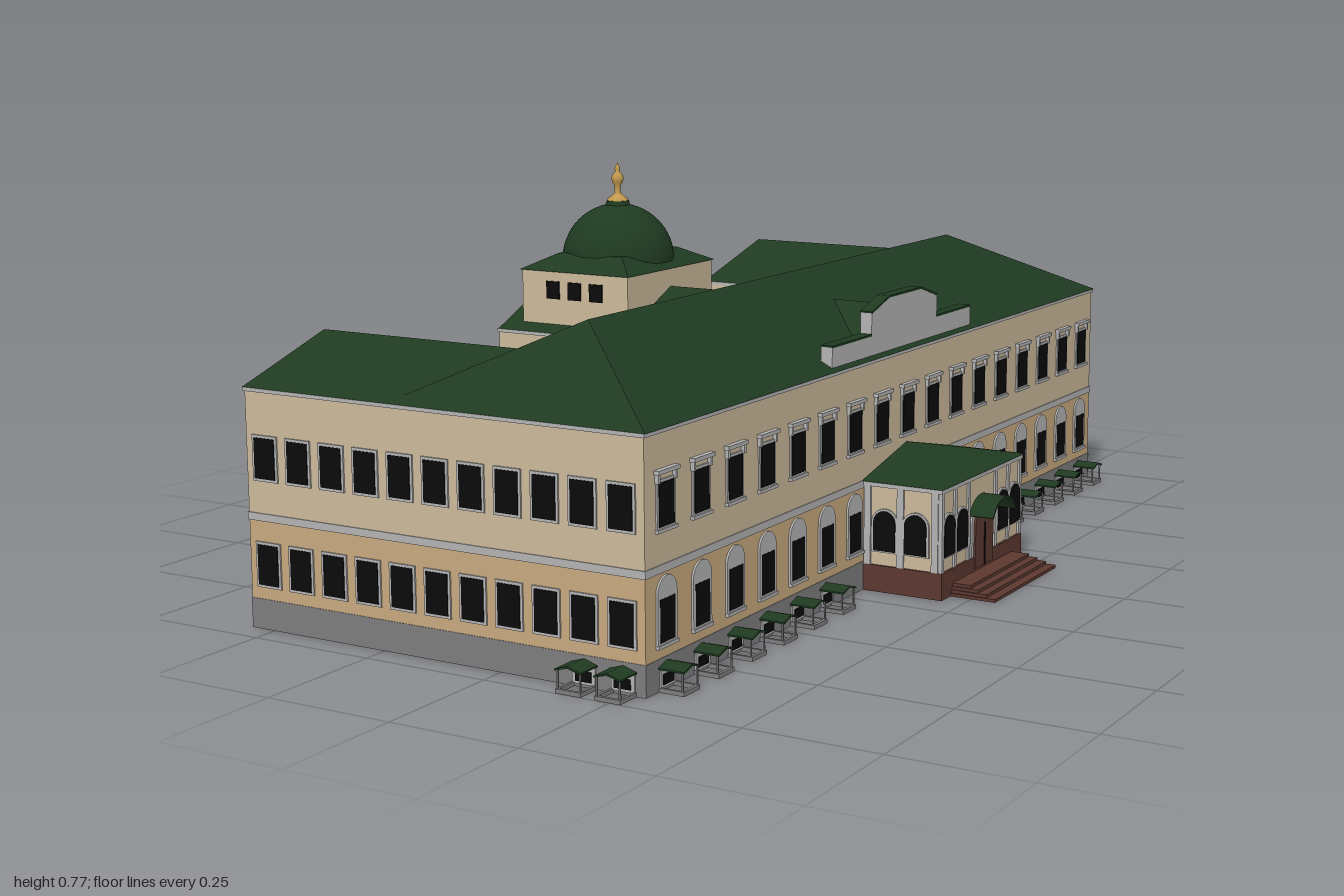
import * as THREE from 'three';

const mat = (color, side = THREE.FrontSide) => new THREE.MeshStandardMaterial({ color, side });
const M = {
  base: mat(0x7d7d7d), lower: mat(0xc8a97e), upper: mat(0xcbb99b), trim: mat(0xb4b4b4),
  roof: mat(0x1f3a21), dark: mat(0x0b0b0b), brick: mat(0x5c3830), gold: mat(0xc39a50), dome: mat(0x1f3a21),
};
for (const k in M) if (!['dome', 'gold'].includes(k)) M[k].flatShading = true;

function add(parent, name, geo, material, x = 0, y = 0, z = 0) {
  const m = new THREE.Mesh(geo, material);
  m.name = name;
  m.position.set(x, y, z);
  parent.add(m);
  return m;
}

// Box given by its limits
function block(parent, name, material, x0, x1, y0, y1, z0, z1) {
  return add(parent, name, new THREE.BoxGeometry(x1 - x0, y1 - y0, z1 - z0), material,
    (x0 + x1) / 2, (y0 + y1) / 2, (z0 + z1) / 2);
}

// Solid between two rectangles [x0,x1,z0,z1]; the top may shrink to a ridge or a point
function frustum(parent, name, material, b, y0, t, y1) {
  const ring = ([x0, x1, z0, z1], y) => [[x0, y, z1], [x1, y, z1], [x1, y, z0], [x0, y, z0]];
  const lo = ring(b, y0), hi = ring(t, y1), pos = [];
  const quad = (p, q, r, s) => pos.push(...p, ...q, ...r, ...p, ...r, ...s);
  for (let i = 0; i < 4; i++) {
    const j = (i + 1) % 4;
    quad(lo[i], lo[j], hi[j], hi[i]);
  }
  quad(...hi);
  quad(lo[3], lo[2], lo[1], lo[0]);
  const g = new THREE.BufferGeometry();
  g.setAttribute('position', new THREE.Float32BufferAttribute(pos, 3));
  g.computeVertexNormals();
  return add(parent, name, g, material);
}

// Horizontal slice of the E-shaped plan, grown outwards by o
function storey(parent, name, material, y0, y1, o = 0) {
  const half = [[0.29 + o, 0.95 + o], [-0.55 - o, 0.95 + o], [-0.55 - o, 0.63 - o], [-0.23 - o, 0.63 - o],
    [-0.23 - o, 0.19 + o], [-0.55 - o, 0.19 + o]];
  const pts = [...half, ...half.map(([x, z]) => [x, -z]).reverse()];
  const shape = new THREE.Shape(pts.map(([x, z]) => new THREE.Vector2(x, -z)));
  const g = new THREE.ExtrudeGeometry(shape, { depth: y1 - y0, bevelEnabled: false });
  add(parent, name, g.rotateX(-Math.PI / 2), material, 0, y0, 0);
}

const extrude = (shape, depth) => new THREE.ExtrudeGeometry(shape, { depth, bevelEnabled: false, curveSegments: 10 });

// Round-topped panel standing on y = 0
function archPanel(w, h, depth) {
  const s = new THREE.Shape();
  s.moveTo(-w / 2, 0);
  s.lineTo(w / 2, 0);
  s.absarc(0, h - w / 2, w / 2, 0, Math.PI, false);
  return extrude(s, depth);
}

// Group on a wall, with its local +z pointing out of the wall
function onWall(parent, name, x, y, z, angle) {
  const g = new THREE.Group();
  g.name = name;
  g.position.set(x, y, z);
  g.rotation.y = angle;
  parent.add(g);
  return g;
}

const W = 0.046, H = 0.074;
const G = {
  frame: new THREE.BoxGeometry(W + 0.01, H + 0.01, 0.006), pane: new THREE.BoxGeometry(W, H, 0.009),
  hood: new THREE.BoxGeometry(W + 0.02, 0.007, 0.016), bracket: new THREE.BoxGeometry(0.006, 0.016, 0.01),
  arch: archPanel(W + 0.014, 0.115, 0.004), sill: new THREE.BoxGeometry(W + 0.016, 0.006, 0.01),
  archFrame: archPanel(0.056, 0.085, 0.004), archPane: archPanel(0.046, 0.078, 0.006),
};

function window_(parent, x, y, z, angle, style = 'plain') {
  const g = onWall(parent, 'window', x, y, z, angle);
  add(g, 'frame', G.frame, M.trim);
  add(g, 'pane', G.pane, M.dark);
  if (style === 'hooded') {
    add(g, 'hood', G.hood, M.trim, 0, 0.056, 0.002);
    for (const s of [-1, 1]) add(g, 'bracket', G.bracket, M.trim, s * 0.027, 0.045, 0.002);
  }
  if (style === 'arched') add(g, 'archSurround', G.arch, M.trim, 0, -0.04, 0);
  if (style !== 'plain') add(g, 'sill', G.sill, M.trim, 0, -0.043, 0.002);
}

function archWindow(parent, x, y, z, angle) {
  const g = onWall(parent, 'archedWindow', x, y, z, angle);
  add(g, 'frame', G.archFrame, M.trim, 0, -0.003, 0);
  add(g, 'pane', G.archPane, M.dark);
}

// Cellar window with a curb and a small gabled cover
function cellarWindow(parent, x, z, angle) {
  const g = onWall(parent, 'cellarWindow', x, 0, z, angle);
  block(g, 'surround', M.trim, -0.023, 0.023, 0.006, 0.036, -0.002, 0.003);
  block(g, 'pane', M.dark, -0.016, 0.016, 0.011, 0.029, 0, 0.005);
  block(g, 'curbFront', M.base, -0.025, 0.025, 0, 0.008, 0.043, 0.049);
  for (const s of [-1, 1]) {
    add(g, 'curbSide', new THREE.BoxGeometry(0.005, 0.008, 0.046), M.base, s * 0.0225, 0.004, 0.023);
    add(g, 'post', new THREE.BoxGeometry(0.003, 0.036, 0.003), M.base, s * 0.0225, 0.024, 0.045);
  }
  const s = new THREE.Shape([[-0.026, 0.039], [0, 0.046], [0.026, 0.039], [0.026, 0.042], [0, 0.05], [-0.026, 0.042]]
    .map(p => new THREE.Vector2(...p)));
  add(g, 'cover', extrude(s, 0.05), M.roof);
}

function buildBody(root) {
  storey(root, 'plinth', M.base, 0, 0.056, 0.001);
  storey(root, 'lowerStorey', M.lower, 0.056, 0.2);
  storey(root, 'stringCourse', M.trim, 0.2, 0.214, 0.002);
  storey(root, 'upperStorey', M.upper, 0.214, 0.436);
  storey(root, 'cornice', M.trim, 0.434, 0.441, 0.003);

  // Roofs
  frustum(root, 'mainRoof', M.roof, [-0.235, 0.295, -0.953, 0.953], 0.441, [0.03, 0.03, -0.72, 0.72], 0.575);
  for (const s of [-1, 1])
    frustum(root, 'wingRoof', M.roof, [-0.553, -0.06, s * 0.79 - 0.163, s * 0.79 + 0.163], 0.441,
      [-0.50, -0.06, s * 0.79, s * 0.79], 0.526);
  frustum(root, 'middleWingRoof', M.roof, [-0.55, -0.06, -0.193, 0.193], 0.441, [-0.55, -0.06, 0, 0], 0.526);
  frustum(root, 'middleWingGable', M.upper, [-0.552, -0.549, -0.188, 0.188], 0.44, [-0.552, -0.549, 0, 0], 0.522);
  frustum(root, 'frontCrossRoof', M.roof, [0.08, 0.264, -0.19, 0.19], 0.441, [0.08, 0.264, 0, 0], 0.526);

  // Stepped parapet over the entrance front
  const outline = [[-0.3, 0.445], [0.3, 0.445], [0.3, 0.485], [0.142, 0.485], [0.142, 0.528], [0.07, 0.55],
    [-0.07, 0.55], [-0.142, 0.528], [-0.142, 0.485], [-0.3, 0.485]].map(p => new THREE.Vector2(...p));
  const parapet = onWall(root, 'parapet', 0.26, 0, 0, Math.PI / 2);
  add(parapet, 'parapetWall', extrude(new THREE.Shape(outline), 0.024), M.trim);
  const caps = outline.slice(2);
  for (let i = 0; i < 7; i++) {
    const a = caps[i], b = caps[i + 1];
    if (Math.abs(a.x - b.x) < 0.01) continue;
    const c = add(parapet, 'coping', new THREE.BoxGeometry(a.distanceTo(b), 0.004, 0.026), M.roof,
      (a.x + b.x) / 2, (a.y + b.y) / 2 + 0.001, 0.012);
    c.rotation.z = Math.atan2(a.y - b.y, a.x - b.x);
  }
}

function buildWindows(root) {
  const Y1 = 0.12, Y2 = 0.315;
  // Entrance front
  for (let i = -8; i <= 8; i++) {
    const z = i * 0.111;
    window_(root, 0.29, Y2, z, Math.PI / 2, 'hooded');
    if (Math.abs(i) >= 2) window_(root, 0.29, Y1, z, Math.PI / 2, 'arched');
    if (Math.abs(i) >= 3) cellarWindow(root, 0.291, z, Math.PI / 2);
  }
  for (const s of [1, -1]) {
    const angle = s > 0 ? 0 : Math.PI;
    // End walls
    for (let i = 0; i < 11; i++) {
      const x = -0.507 + i * 0.0753;
      window_(root, x, Y2, s * 0.95, angle, s > 0 ? 'plain' : 'hooded');
      window_(root, x, Y1, s * 0.95, angle, s > 0 ? 'plain' : 'arched');
    }
    for (const x of [0.17, 0.247]) cellarWindow(root, x, s * 0.951, angle);
    // Courtyard walls of the wings
    for (const x of [-0.3, -0.455]) for (const y of [Y1, Y2]) {
      window_(root, x, y, s * 0.19, angle);
      window_(root, x, y, -s * 0.63, angle);
    }
  }
}

function buildDome(root) {
  const g = onWall(root, 'domeTower', -0.381, 0, 0, 0);
  block(g, 'drum', M.upper, -0.128, 0.128, 0.4, 0.563, -0.162, 0.162);
  frustum(g, 'drumRoof', M.roof, [-0.132, 0.132, -0.167, 0.167], 0.563, [-0.078, 0.078, -0.105, 0.105], 0.593);
  for (const s of [-1, 1]) for (const x of [-0.052, 0, 0.052])
    add(g, 'drumWindow', new THREE.BoxGeometry(0.031, 0.036, 0.006), M.dark, x, 0.525, s * 0.162);
  add(g, 'dome', new THREE.SphereGeometry(0.116, 40, 16, 0, Math.PI * 2, 0, Math.PI / 2), M.dome, 0, 0.574, 0);
  add(g, 'domeCap', new THREE.CylinderGeometry(0.023, 0.026, 0.012, 24), M.dome, 0, 0.69, 0);
  const profile = [[0.021, 0.694], [0.021, 0.7], [0.012, 0.706], [0.006, 0.712], [0.006, 0.727], [0.011, 0.734],
    [0.013, 0.743], [0.009, 0.751], [0.004, 0.756], [0.006, 0.762], [0.004, 0.767], [0, 0.774]];
  add(g, 'finial', new THREE.LatheGeometry(profile.map(p => new THREE.Vector2(...p)), 20), M.gold);
}

function buildPorch(root) {
  const g = onWall(root, 'porch', 0, 0, 0, 0);
  block(g, 'porchPlinth', M.brick, 0.285, 0.457, 0, 0.052, -0.185, 0.185);
  block(g, 'porchWalls', M.upper, 0.285, 0.452, 0.052, 0.21, -0.181, 0.181);
  block(g, 'porchCornice', M.trim, 0.285, 0.457, 0.205, 0.214, -0.187, 0.187);
  frustum(g, 'porchRoof', M.roof, [0.285, 0.46, -0.191, 0.191], 0.214, [0.285, 0.292, 0, 0], 0.256);
  for (const s of [-1, 1]) {
    for (const x of [0.336, 0.401]) archWindow(g, x, 0.081, s * 0.181, s > 0 ? 0 : Math.PI);
    for (const x of [0.299, 0.3685, 0.441])
      add(g, 'sidePilaster', new THREE.BoxGeometry(0.014, 0.154, 0.008), M.trim, x, 0.129, s * 0.181);
    for (const z of [0.094, 0.151]) archWindow(g, 0.452, 0.081, s * z, Math.PI / 2);
    for (const z of [0.062, 0.1225, 0.178])
      add(g, 'frontPilaster', new THREE.BoxGeometry(0.008, 0.154, 0.01), M.trim, 0.452, 0.129, s * z);
  }
  // Door under a curved canopy
  const door = onWall(g, 'entrance', 0.452, 0.03, 0, Math.PI / 2);
  add(door, 'doorSurround', archPanel(0.1, 0.135, 0.004), M.trim);
  add(door, 'door', archPanel(0.082, 0.122, 0.008), M.brick);
  add(door, 'doorSplit', new THREE.BoxGeometry(0.003, 0.085, 0.004), M.dark, 0, 0.042, 0.008);
  const arc = new THREE.Shape(), a = 1.08;
  arc.absarc(0, 0, 0.0623, Math.PI / 2 - a, Math.PI / 2 + a, false);
  arc.absarc(0, 0, 0.0583, Math.PI / 2 + a, Math.PI / 2 - a, true);
  add(door, 'canopy', extrude(arc, 0.05), M.roof, 0, 0.0775, 0);
  // Steps
  [0.495, 0.512, 0.53, 0.549].forEach((x, i) =>
    block(g, 'step', M.brick, 0.45, x, 0, 0.024 - i * 0.006, -0.137 - i * 0.003, 0.137 + i * 0.003));
}

export function createModel() {
  const root = new THREE.Group();
  root.name = 'domedMansion';
  buildBody(root);
  buildWindows(root);
  buildDome(root);
  buildPorch(root);
  return root;
}
